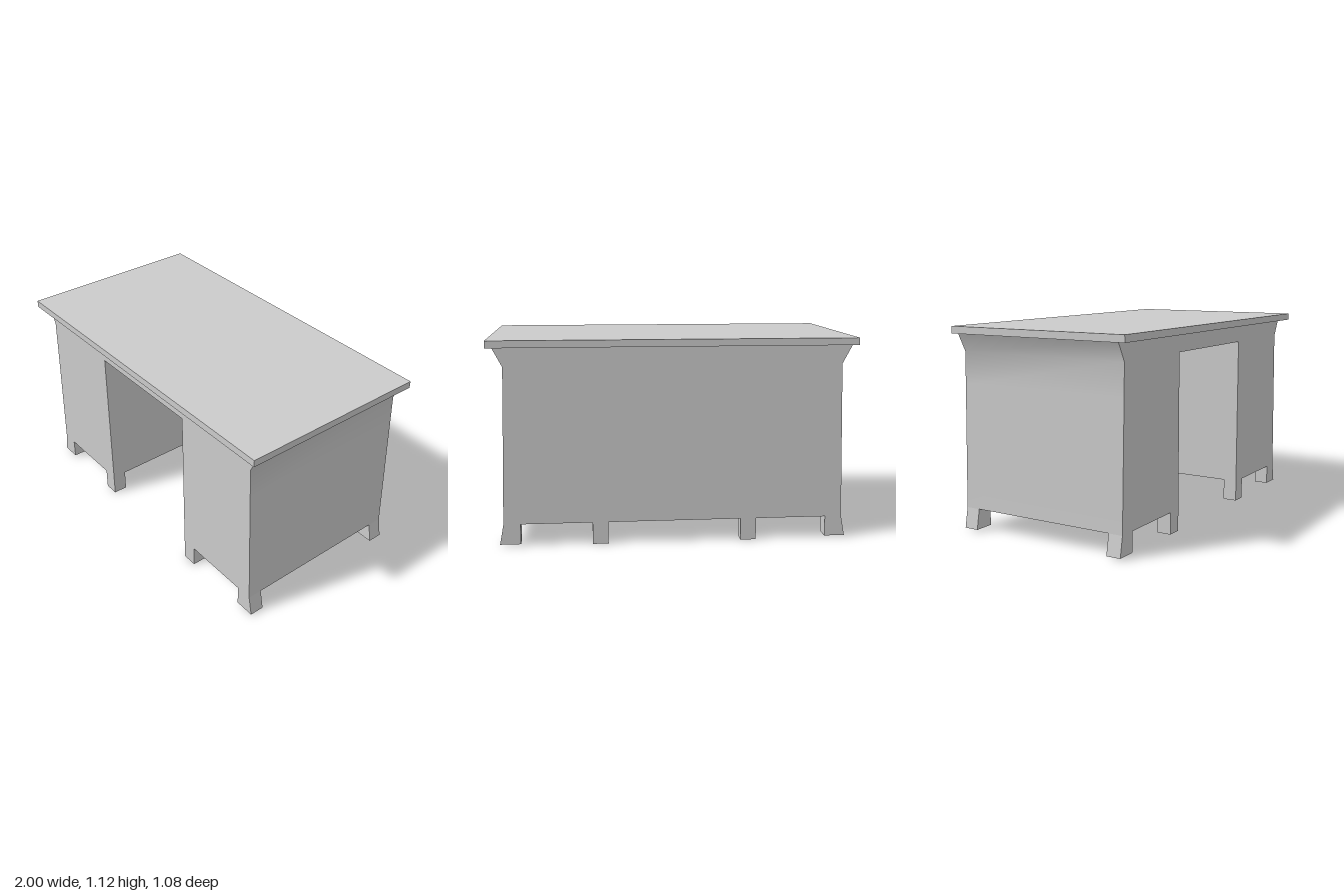
import * as THREE from 'three';
import { toCreasedNormals } from 'three/addons/utils/BufferGeometryUtils.js';

const BACK = -0.527, FRONT = 0.482;
const material = new THREE.MeshStandardMaterial({ color: 0xcccccc });

// Extrude an outline in x/y between two z positions
function extrude(name, points, z0, z1) {
  const shape = new THREE.Shape(points.map(([x, y]) => new THREE.Vector2(x, y)));
  const geo = new THREE.ExtrudeGeometry(shape, { depth: z1 - z0, bevelEnabled: false });
  geo.translate(0, 0, z0);
  const mesh = new THREE.Mesh(toCreasedNormals(geo, 0.7), material);
  mesh.name = name;
  return mesh;
}

const mirror = (points) => points.map(([x, y]) => [-x, y]).reverse();

export function createModel() {
  const desk = new THREE.Group();
  desk.name = 'desk';

  // Flat overhanging top
  const top = new THREE.Mesh(new THREE.BoxGeometry(2, 0.039, 1.078), material);
  top.name = 'deskTop';
  top.position.set(0, 1.0995, 0.001);
  desk.add(top);

  // Two pedestals joined above the knee hole, flared below the top
  const half = [[0.366, 0.98], [0.366, 0.122], [0.934, 0.122], [0.916, 0.8], [0.912, 0.98], [0.965, 1.08]];
  desk.add(extrude('body', [...half, ...mirror(half)], BACK, FRONT));

  // Thin panel closing the back of the knee hole
  const panelMaterial = material.clone();
  panelMaterial.side = THREE.DoubleSide;
  const panel = new THREE.Mesh(new THREE.PlaneGeometry(0.732, 0.858), panelMaterial);
  panel.name = 'backPanel';
  panel.position.set(0, 0.551, BACK);
  desk.add(panel);

  // Splayed outer feet and straight inner feet at each pedestal corner
  const outer = [[0.842, 0.01], [0.955, 0.01], [0.934, 0.122], [0.842, 0.122]];
  const inner = [[0.366, 0], [0.452, 0], [0.452, 0.122], [0.366, 0.122]];
  for (const [end, z0, z1] of [['front', 0.4, FRONT], ['back', BACK, -0.443]]) {
    for (const [kind, points] of [['Outer', outer], ['Inner', inner]]) {
      desk.add(extrude(`${end}${kind}LeftFoot`, points, z0, z1));
      desk.add(extrude(`${end}${kind}RightFoot`, mirror(points), z0, z1));
    }
  }
  return desk;
}
